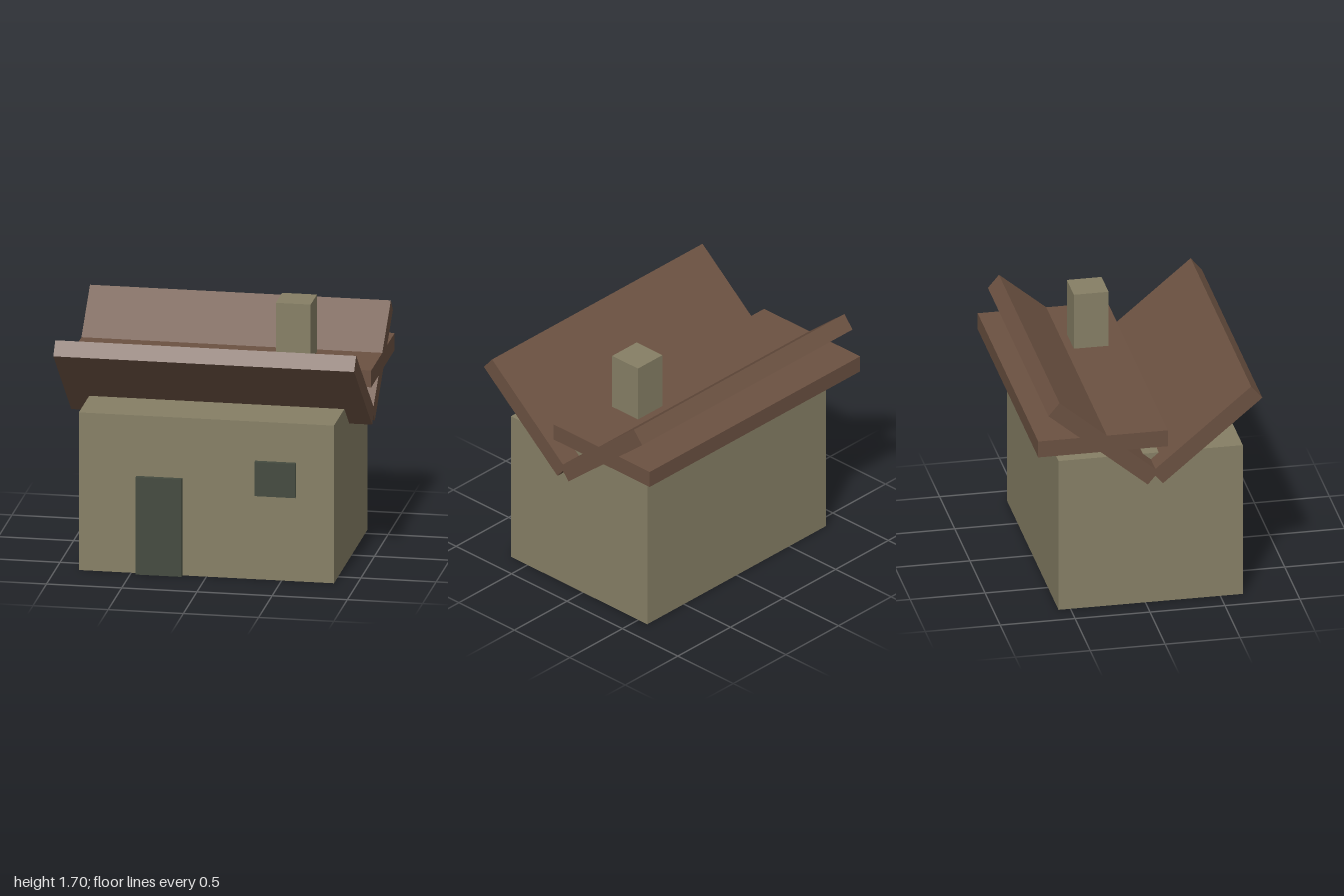
import * as THREE from 'three';

function material(name, color) {
  const m = new THREE.MeshStandardMaterial({ color });
  m.name = name;
  return m;
}

export function createModel() {
  const group = new THREE.Group();
  group.name = 'hut';
  const wall = material('khaki plaster', 0x867f65);
  const roof = material('brown wood', 0x6b5141);
  const dark = material('dark green', 0x434a3e);

  // Box given by its minimum and maximum corners
  function block(name, mat, [x0, y0, z0], [x1, y1, z1]) {
    const mesh = new THREE.Mesh(new THREE.BoxGeometry(x1 - x0, y1 - y0, z1 - z0), mat);
    mesh.position.set((x0 + x1) / 2, (y0 + y1) / 2, (z0 + z1) / 2);
    mesh.name = name;
    group.add(mesh);
  }

  // Roof board, tilted about x
  function board(name, y, z, degrees) {
    const mesh = new THREE.Mesh(new THREE.BoxGeometry(2, 0.115, 0.866), roof);
    mesh.position.set(0, y, z);
    mesh.rotation.x = THREE.MathUtils.degToRad(degrees);
    mesh.name = name;
    group.add(mesh);
  }

  // House body with door, window and chimney
  block('walls', wall, [-0.848, 0, -0.58], [0.848, 1.077, 0.65]);
  block('door', dark, [-0.465, 0, 0.61], [-0.16, 0.664, 0.685]);
  block('window', dark, [0.325, 0.578, 0.61], [0.597, 0.81, 0.685]);
  block('chimney', wall, [0.343, 1.07, -0.237], [0.575, 1.695, -0.005]);

  // Two boards forming a V, and a level board through the rear one
  board('frontRoofBoard', 1.247, 0.381, -40);
  board('rearRoofBoard', 1.247, -0.309, 40);
  board('levelRoofBoard', 1.247, -0.313, 0);

  return group;
}
